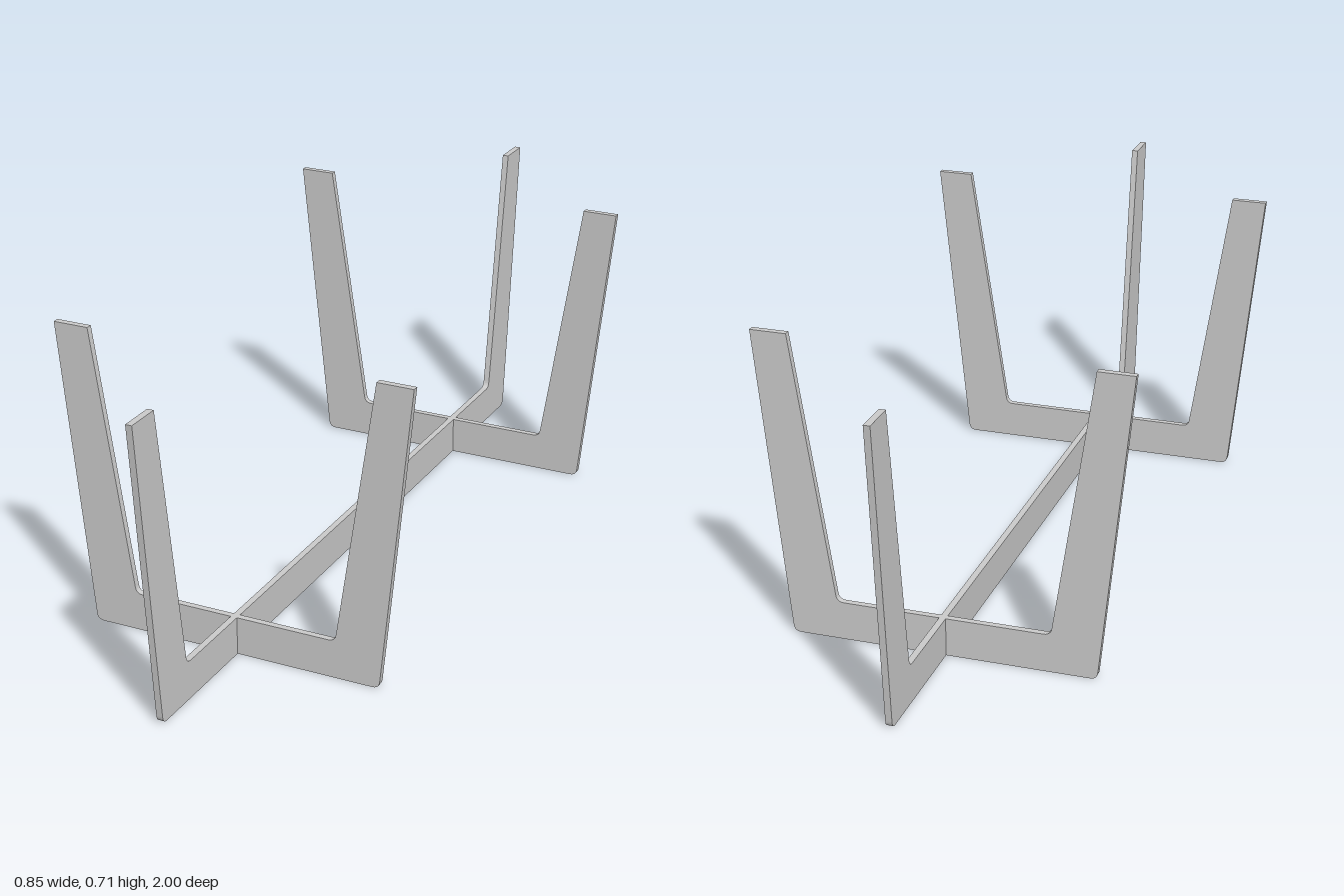
import * as THREE from 'three';

const HEIGHT = 0.713, RAIL = 0.09, THICK = 0.015;

// Flat U-shaped plate with splayed arms; topHalf is half its width at the arm tips
function uFrame(topHalf) {
  const footHalf = topHalf - 0.075, innerTop = topHalf - 0.084, innerFoot = topHalf - 0.18;
  const r = 0.016;
  const corners = [ // x, y, rounding
    [-topHalf, HEIGHT, 0], [-footHalf, 0, r], [footHalf, 0, r], [topHalf, HEIGHT, 0],
    [innerTop, HEIGHT, 0], [innerFoot, RAIL, r], [-innerFoot, RAIL, r], [-innerTop, HEIGHT, 0],
  ];
  const points = corners.map(([x, y]) => new THREE.Vector2(x, y));
  const shape = new THREE.Shape();
  points.forEach((p, i) => {
    const radius = corners[i][2];
    const toward = (q) => q.clone().sub(p).setLength(radius).add(p);
    const start = toward(points[(i + 7) % 8]);
    if (i === 0) shape.moveTo(p.x, p.y);
    else shape.lineTo(start.x, start.y);
    if (radius > 0) {
      const end = toward(points[(i + 1) % 8]);
      shape.quadraticCurveTo(p.x, p.y, end.x, end.y);
    }
  });
  shape.closePath();
  const geometry = new THREE.ExtrudeGeometry(shape, { depth: THICK, bevelEnabled: false, curveSegments: 6 });
  return geometry.translate(0, 0, -THICK / 2);
}

export function createModel() {
  const model = new THREE.Group();
  model.name = 'crossedCradleStand';
  const material = new THREE.MeshStandardMaterial({ color: 0xcccccc });

  // Long frame running front to back
  const longFrame = new THREE.Mesh(uFrame(1).rotateY(Math.PI / 2), material);
  longFrame.name = 'longFrame';
  model.add(longFrame);

  // Two short frames slotted across it
  const crossGeometry = uFrame(0.427);
  for (const [name, z] of [['frontCrossFrame', 0.592], ['backCrossFrame', -0.592]]) {
    const cross = new THREE.Mesh(crossGeometry, material);
    cross.name = name;
    cross.position.z = z;
    model.add(cross);
  }
  return model;
}
